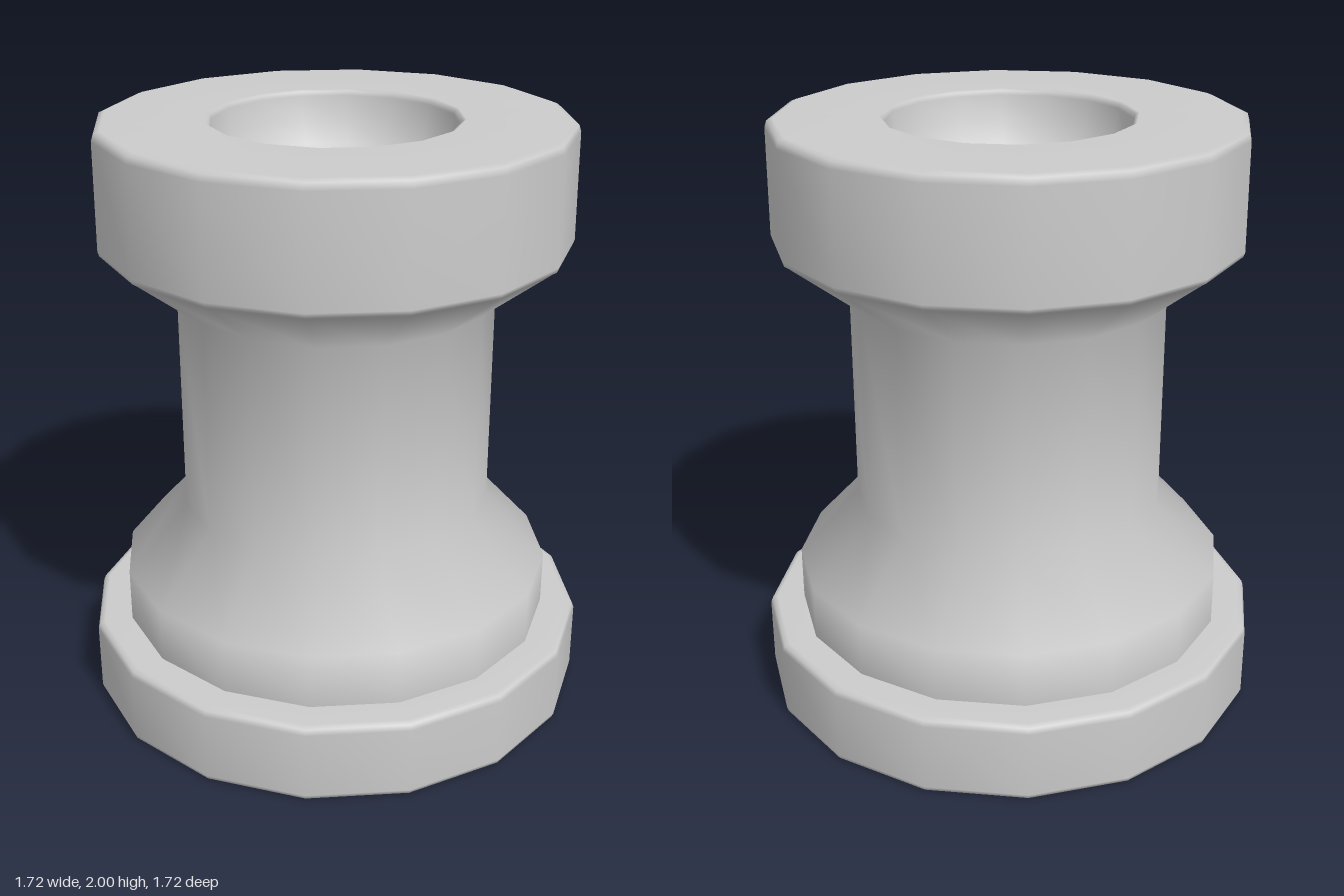
import * as THREE from 'three';
import { mergeVertices } from 'three/addons/utils/BufferGeometryUtils.js';

const SIDES = 16;
const material = new THREE.MeshStandardMaterial({ color: 0xcccccc });

// Turned part: profile of [radius, height], with area-weighted smooth normals
function turned(name, profile) {
  const points = profile.map(([r, y]) => new THREE.Vector2(r, y));
  let geometry = new THREE.LatheGeometry(points, SIDES);
  geometry.deleteAttribute('uv');
  geometry.deleteAttribute('normal');
  geometry = mergeVertices(geometry, 1e-4);
  geometry.computeVertexNormals();
  const mesh = new THREE.Mesh(geometry, material);
  mesh.name = name;
  return mesh;
}

export function createModel() {
  const group = new THREE.Group();
  group.name = 'rookTower';

  // Wide foot with softened edges
  group.add(turned('base', [
    [0, 0], [0.84, 0], [0.855, 0.006], [0.86, 0.02],
    [0.86, 0.25], [0.853, 0.268], [0.835, 0.275], [0.7, 0.275],
  ]));

  // Rounded hollow in the crown, from rim to centre
  const bowl = [];
  for (let i = 0; i <= 6; i++) {
    const a = (i / 6) * Math.PI / 2;
    bowl.push([i === 6 ? 0 : 0.4 * Math.cos(a), 1.98 - 0.3 * Math.sin(a)]);
  }

  // Collar, column, flare and crown in one continuous skin
  group.add(turned('body', [
    [0.74, 0.27], [0.74, 0.46], [0.53, 0.69], [0.53, 1.42],
    [0.755, 1.595], [0.77, 1.605], [0.775, 1.62],
    [0.772, 1.97], [0.765, 1.992], [0.745, 2],
    [0.415, 2], [0.404, 1.994], ...bowl,
  ]));

  return group;
}
